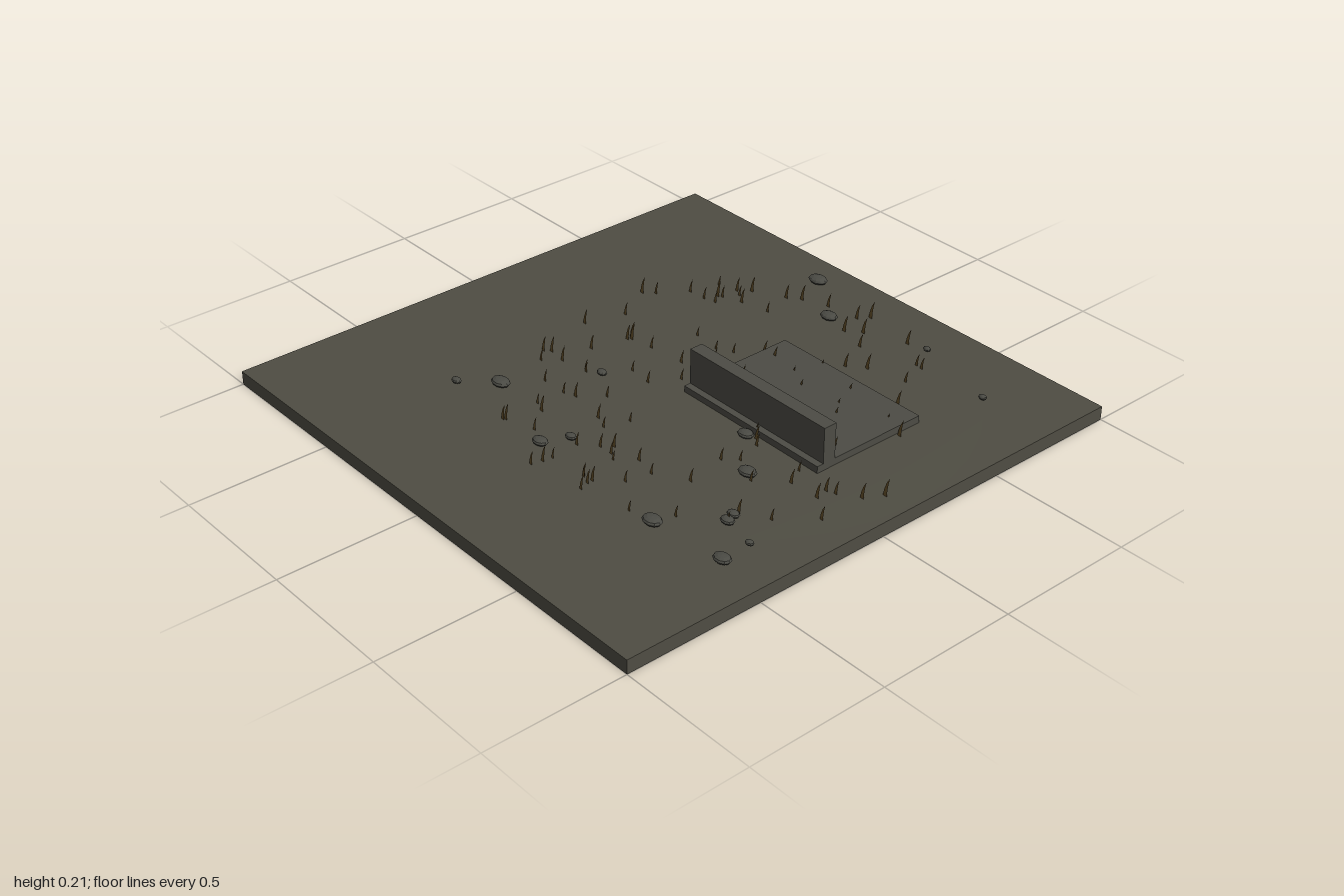
import * as THREE from 'three';
import { mergeGeometries } from 'three/addons/utils/BufferGeometryUtils.js';

const material = (name, color, options = {}) => {
  const m = new THREE.MeshStandardMaterial({ color, ...options });
  m.name = name;
  return m;
};

// Small seeded generator for the scattered grass
function seeded(seed) {
  return () => {
    seed = (seed * 16807) % 2147483647;
    return seed / 2147483647;
  };
}

export function createModel() {
  const group = new THREE.Group();
  const earth = material('earth', 0x4f4d43);
  const concrete = material('concrete', 0x4d4c45);
  const stone = material('stone', 0x4a4a44, { flatShading: true });
  const dryGrass = material('dry grass', 0x66502a, { side: THREE.DoubleSide });

  const add = (name, geometry, mat) => {
    const mesh = new THREE.Mesh(geometry, mat);
    mesh.name = name;
    group.add(mesh);
    return mesh;
  };
  const box = (name, mat, x0, x1, y0, y1, z0, z1) =>
    add(name, new THREE.BoxGeometry(x1 - x0, y1 - y0, z1 - z0), mat)
      .position.set((x0 + x1) / 2, (y0 + y1) / 2, (z0 + z1) / 2);

  // Ground plate with a very low rise on it
  box('ground', earth, -1, 1, 0, 0.05, -1, 1);
  const rise = [[0.8, 0], [0.65, 0.003], [0.4, 0.006], [0, 0.008]].map(p => new THREE.Vector2(...p));
  add('groundRise', new THREE.LatheGeometry(rise, 32), earth).position.set(0.19, 0.05, -0.14);

  // Foundation slab and the remaining wall
  box('foundation', concrete, 0.06, 0.685, 0.045, 0.08, -0.475, -0.025);
  box('wall', concrete, 0.06, 0.685, 0.08, 0.21, -0.1, -0.05);

  // Flattened stones: x, z, half width
  const stones = [
    [-0.19, -0.87, 0.039], [0.02, -0.72, 0.035], [0.395, -0.815, 0.015], [0.725, -0.73, 0.016],
    [0.385, 0, 0.031], [-0.2, 0.11, 0.02], [0.547, 0.14, 0.035], [-0.37, 0.4, 0.038],
    [0.687, 0.325, 0.024], [0.7, 0.36, 0.027], [0.828, 0.388, 0.016], [0.037, 0.43, 0.022],
    [-0.472, 0.505, 0.02], [-0.005, 0.52, 0.031], [0.553, 0.53, 0.038], [0.833, 0.5, 0.034],
  ];
  const stoneGeometry = new THREE.SphereGeometry(1, 10, 6);
  for (const [x, z, r] of stones) {
    const mesh = add('stone', stoneGeometry, stone);
    mesh.scale.set(r, 0.006 + r * 0.2, r * 0.75);
    mesh.position.set(x, 0.065, z);
  }

  // Flat grass blades facing the front, all leaning one way
  const blade = new THREE.Shape();
  blade.moveTo(-0.008, 0);
  blade.lineTo(0.008, 0);
  blade.quadraticCurveTo(0.008, 0.035, 0.017, 0.07);
  blade.quadraticCurveTo(-0.004, 0.04, -0.008, 0);
  const bladeGeometry = new THREE.ShapeGeometry(blade, 3);
  const random = seeded(4711);
  const blades = [];
  while (blades.length < 115) {
    const angle = random() * Math.PI * 2;
    const radius = Math.sqrt(random());
    const x = 0.17 + 0.75 * radius * Math.cos(angle);
    const z = -0.12 + 0.74 * radius * Math.sin(angle);
    const size = 0.65 + random() * 0.4;
    blades.push(bladeGeometry.clone().scale(size, size, 1).translate(x, 0.052, z));
  }
  add('grass', mergeGeometries(blades), dryGrass);

  return group;
}
